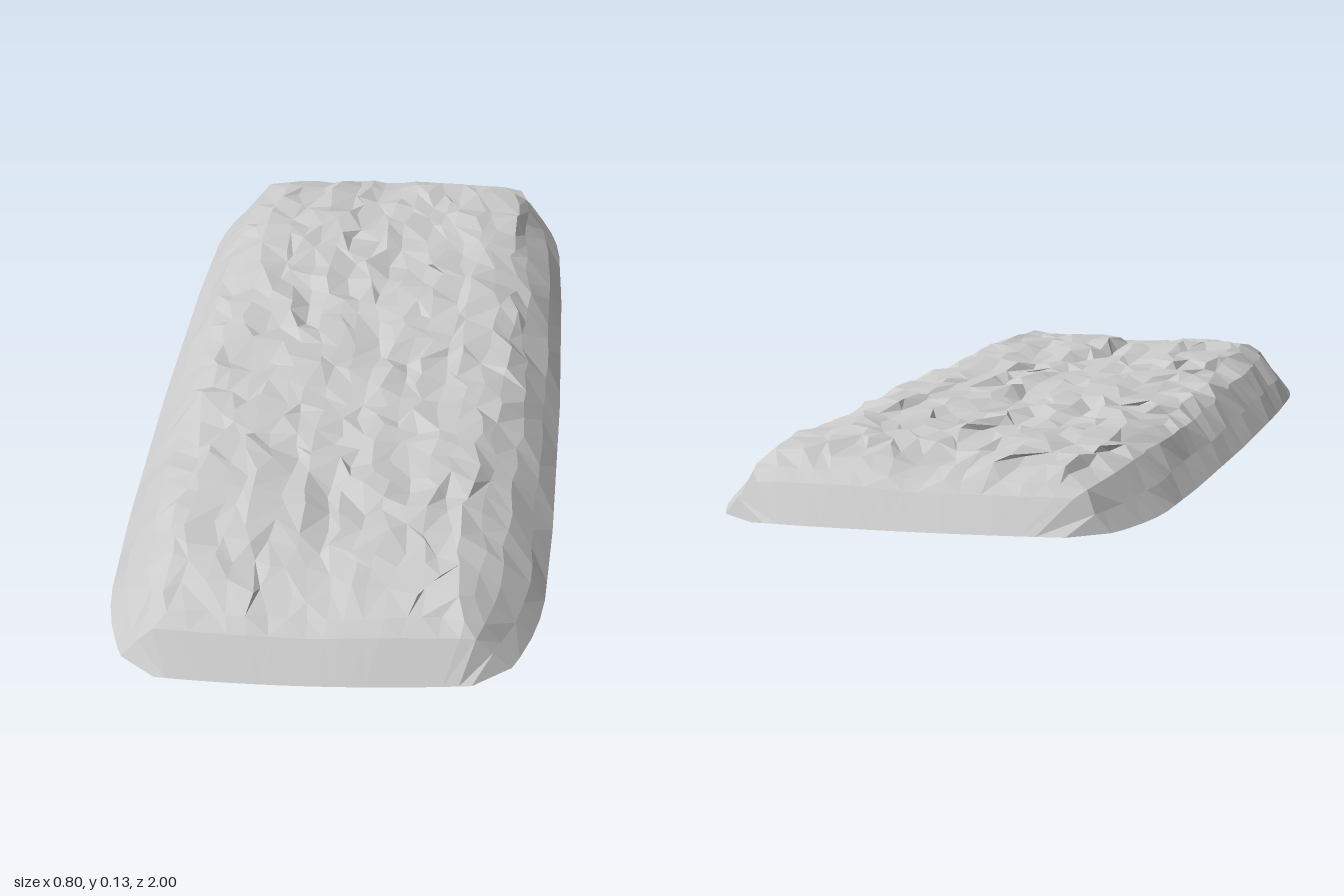
import * as THREE from 'three';

// Piecewise linear lookup in a short list of [position, value] pairs
function lookup(points, t) {
  if (t <= points[0][0]) return points[0][1];
  for (let i = 1; i < points.length; i++) {
    const [a, va] = points[i - 1], [b, vb] = points[i];
    if (t <= b) return va + (vb - va) * (t - a) / (b - a);
  }
  return points[points.length - 1][1];
}

// Repeatable noise from -1 to 1
function noise(i, j, seed) {
  const s = Math.sin(i * 127.1 + j * 311.7 + seed * 74.7) * 43758.5453;
  return (s - Math.floor(s)) * 2 - 1;
}

// Plan outline, bevel rise and crown of the slab
const halfWidth = [[0, 0.4], [0.5, 0.395], [0.77, 0.385], [0.89, 0.36], [0.95, 0.335], [1, 0.27]];
const sideRise = [[0, 0], [0.03, 0.38], [0.07, 0.8], [0.12, 1]];
const endRise = [[0, 0], [0.05, 0.6], [0.08, 0.78], [0.13, 0.9], [0.25, 1]];
const crown = [[-0.33, 0.104], [-0.25, 0.112], [0, 0.112], [0.12, 0.123], [0.25, 0.12], [0.33, 0.104]];
const lengthwise = [[-1, 0], [-0.55, 0.006], [-0.1, -0.003], [0.3, 0], [0.55, 0.005], [1, -0.004]];

// Grid lines: close together on the bevels, even across the top
function gridLines(edges, count) {
  const last = edges[edges.length - 1];
  const lines = edges.map((e) => -e);
  for (let i = 1; i < count; i++) lines.push(-last + 2 * last * i / count);
  return lines.concat([...edges].reverse());
}

function slabGeometry() {
  const columns = gridLines([1, 0.92, 0.82], 17);
  const rows = gridLines([1, 0.95, 0.92], 30);
  const nc = columns.length, nr = rows.length;
  const positions = [], indices = [];

  rows.forEach((v, r) => columns.forEach((u, c) => {
    const rim = Math.min(c, nc - 1 - c, r, nr - 1 - r);
    const rough = rim < 2 ? 0 : rim === 2 ? 0.35 : 1;
    const w = lookup(halfWidth, Math.abs(v));
    let x = u * w;
    let z = v * (1 - 0.2 * x * x);
    const inset = w - Math.abs(x), endInset = 1 - Math.abs(v);

    // Uneven base edge, lowest along the left-hand side of the front view
    const base = 0.012 - 0.006 * v + 0.012 * x * (1 + v);
    const top = lookup(crown, x) + lookup(lengthwise, z);
    const rise = Math.min(lookup(sideRise, inset), lookup(endRise, endInset));

    // Long splintered streaks along the grain, with finer chips
    const run = Math.floor((r + 5 * (noise(c, 0, 1) + 1)) / 5);
    const streak = noise(c, run, 2) * 0.006 + noise(c, r, 3) * 0.007;
    const y = base + (top - base) * rise + streak * rough;
    x += (noise(c, r, 4) * 0.013 + noise(c, run, 5) * 0.007) * rough;
    z += noise(c, r, 6) * 0.025 * rough;

    // Slightly chipped bevel shoulders
    if (rim === 1 || rim === 2) x += noise(c, Math.floor(r / 2), 7) * 0.006;
    positions.push(x, Math.max(0, y), z);
  }));

  for (let r = 0; r < nr - 1; r++) {
    for (let c = 0; c < nc - 1; c++) {
      const a = r * nc + c, b = a + nc, d = b + 1, e = a + 1;
      // Mixed diagonals break up the grid; corner cells follow the rounded plan
      if (noise(c, r, 8) > 0) indices.push(a, b, d, a, d, e);
      else indices.push(a, b, e, b, d, e);
    }
  }

  const geometry = new THREE.BufferGeometry();
  geometry.setAttribute('position', new THREE.Float32BufferAttribute(positions, 3));
  geometry.setIndex(indices);
  geometry.computeVertexNormals();
  return geometry;
}

export function createModel() {
  const group = new THREE.Group();
  group.name = 'roughSlab';

  // Open-bottomed shell with a rough, split upper face
  const material = new THREE.MeshStandardMaterial({
    color: 0xcccccc, flatShading: true, side: THREE.DoubleSide,
  });
  const shell = new THREE.Mesh(slabGeometry(), material);
  shell.name = 'slabShell';
  group.add(shell);
  return group;
}
